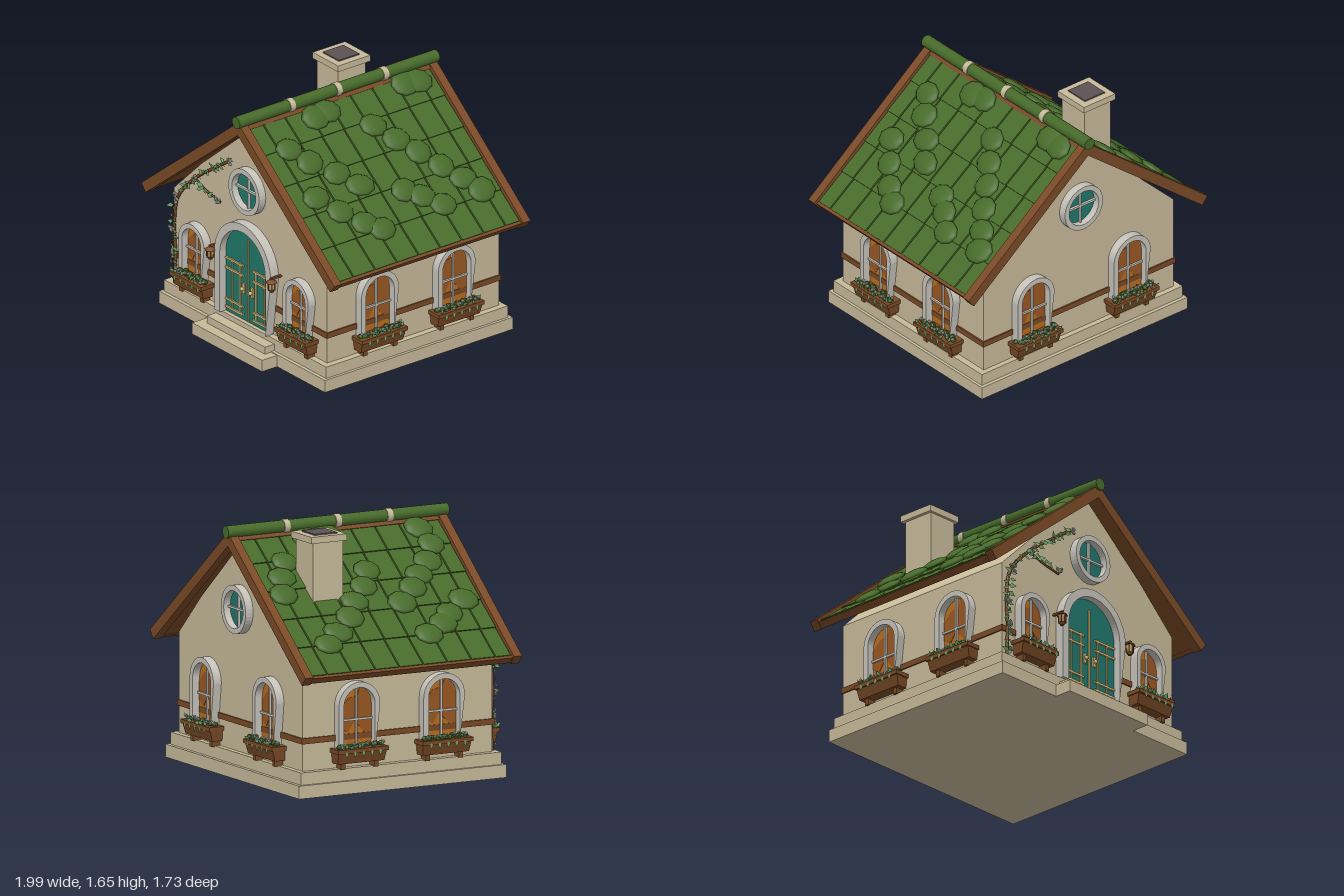
import * as THREE from 'three';

const mat = (name, color, side = THREE.FrontSide) => {
  const m = new THREE.MeshStandardMaterial({ color, side });
  m.name = name;
  return m;
};

export function createModel() {
  const M = {
    cream: mat('cream plaster', 0xc8bb9b), stone: mat('pale stone', 0xc6c3ba),
    wood: mat('brown wood', 0x7a4a26), moss: mat('roof green', 0x476b2a),
    teal: mat('teal paint', 0x20776a), amber: mat('amber glass', 0xb96d1e),
    dusk: mat('dark amber glass', 0x9a5722), gold: mat('pale gold', 0xd6ba74),
    soot: mat('soot', 0x5c5253), leaf: mat('light leaf', 0x6fa66c, THREE.DoubleSide),
  };
  const house = new THREE.Group();
  house.name = 'cottage';
  const ZC = -0.03; // centre of the walls and roof along z
  let seed = 7;
  const rnd = () => (seed = (seed * 16807) % 2147483647) / 2147483647;

  const add = (parent, name, geo, m, x = 0, y = 0, z = 0) => {
    const mesh = new THREE.Mesh(geo, m);
    mesh.name = name;
    mesh.position.set(x, y, z);
    parent.add(mesh);
    return mesh;
  };
  // box given by its limits on each axis
  const box = (p, name, m, x0, x1, y0, y1, z0, z1) =>
    add(p, name, new THREE.BoxGeometry(x1 - x0, y1 - y0, z1 - z0), m, (x0 + x1) / 2, (y0 + y1) / 2, (z0 + z1) / 2);
  const group = (p, name, x = 0, y = 0, z = 0, ry = 0) => {
    const g = new THREE.Group();
    g.name = name;
    g.position.set(x, y, z);
    g.rotation.y = ry;
    p.add(g);
    return g;
  };
  const extrude = (shape, depth) => new THREE.ExtrudeGeometry(shape, { depth, bevelEnabled: false, curveSegments: 20 });
  const poly = (pts) => new THREE.Shape(pts.map(([x, y]) => new THREE.Vector2(x, y)));
  const arch = (hw, y0, top) => {
    const s = new THREE.Shape();
    s.moveTo(-hw, y0);
    s.lineTo(hw, y0);
    s.absarc(0, top - hw, hw, 0, Math.PI, false);
    s.closePath();
    return s;
  };
  // open-bottomed arch surround
  const archFrame = (hw, t, y0, top) => {
    const s = new THREE.Shape();
    s.moveTo(hw, y0);
    s.absarc(0, top - hw, hw, 0, Math.PI, false);
    s.lineTo(-hw, y0);
    s.lineTo(t - hw, y0);
    s.absarc(0, top - hw, hw - t, Math.PI, 0, true);
    s.lineTo(hw - t, y0);
    s.closePath();
    return s;
  };

  // foundation and steps
  box(house, 'lowerSlab', M.cream, -0.855, 0.855, 0, 0.085, -0.795, 0.735);
  box(house, 'upperSlab', M.cream, -0.835, 0.835, 0.085, 0.165, -0.77, 0.71);
  box(house, 'lowerStep', M.cream, -0.36, 0.36, 0, 0.08, 0.7, 0.857);
  box(house, 'upperStep', M.cream, -0.3, 0.3, 0.08, 0.13, 0.7, 0.785);

  // walls with gables and the belt rail
  const wall = poly([[-0.79, 0.16], [0.79, 0.16], [0.79, 0.82], [0.5, 1.1], [0, 1.52], [-0.5, 1.1], [-0.79, 0.82]]);
  add(house, 'walls', extrude(wall, 1.4), M.cream, 0, 0, -0.733);
  for (const s of [-1, 1]) {
    box(house, 'sideRail', M.wood, s * 0.79 - 0.01, s * 0.79 + 0.01, 0.342, 0.38, -0.743, 0.677);
    box(house, 'frontRail', M.wood, s * 0.53 - 0.26, s * 0.53 + 0.26, 0.342, 0.38, 0.66, 0.677);
  }
  box(house, 'backRail', M.wood, -0.79, 0.79, 0.342, 0.38, -0.743, -0.725);

  // planter: tapered trough, brackets, foliage, flowers and hanging leaves (z points out of the wall)
  const leafGeo = new THREE.ShapeGeometry(poly([[0, 0], [0.013, 0.018], [0, 0.045], [-0.013, 0.018]]));
  const flowerGeo = new THREE.IcosahedronGeometry(0.011, 0);
  const bushGeo = new THREE.IcosahedronGeometry(0.022, 0);
  const planter = (p, w) => {
    const g = group(p, 'planter');
    const geo = new THREE.BoxGeometry(w, 0.085, 0.095);
    const a = geo.attributes.position;
    for (let i = 0; i < a.count; i++) if (a.getY(i) < 0) {
      a.setX(i, a.getX(i) * 0.95);
      if (a.getZ(i) > 0) a.setZ(i, 0.025);
    }
    geo.computeVertexNormals();
    add(g, 'trough', geo, M.wood, 0, 0.243, 0.0525);
    box(g, 'rim', M.wood, -w / 2 - 0.006, w / 2 + 0.006, 0.27, 0.297, 0, 0.108);
    for (const s of [-1, 1]) box(g, 'bracket', M.wood, s * w * 0.34 - 0.015, s * w * 0.34 + 0.015, 0.16, 0.205, 0, 0.06);
    const n = Math.round(w / 0.032);
    for (let i = 0; i < n; i++) {
      const x = ((i + 0.5) / n - 0.5) * w * 0.95;
      add(g, 'foliage', bushGeo, M.moss, x, 0.3 + rnd() * 0.012, 0.04 + rnd() * 0.04);
      add(g, 'flower', flowerGeo, M.stone, x + rnd() * 0.015, 0.317 + rnd() * 0.01, 0.05 + rnd() * 0.045);
      const l = add(g, 'sprig', leafGeo, M.leaf, x, 0.3, 0.08 + rnd() * 0.02);
      l.rotation.set(0.5, rnd() * 3, (rnd() - 0.5) * 2);
      if (i % 2) add(g, 'hangingLeaf', leafGeo, M.leaf, x, 0.285, 0.112).rotation.z = Math.PI;
    }
  };

  // arched window with planter
  const archedWindow = (x, z, ry, hw, t, top, w) => {
    const g = group(house, 'archedWindow', x, 0, z, ry);
    const r = hw - t;
    add(g, 'surround', extrude(archFrame(hw, t, 0.27, top), 0.058), M.stone);
    add(g, 'glass', extrude(arch(r, 0.28, top - t), 0.006), M.amber);
    const c = top - hw;
    const shade = poly([[-r, 0.42], [-r * 0.5, 0.39], [-r * 0.1, 0.46], [r * 0.4, 0.4], [r, 0.33], [r, c], [r * 0.7, c + r * 0.7],
      [r * 0.25, c + r * 0.95], [r * 0.1, c + r * 0.5], [-r * 0.5, c + r * 0.35], [-r, c - 0.02]]);
    add(g, 'glassShade', extrude(shade, 0.003), M.dusk, 0, 0, 0.006);
    box(g, 'mullion', M.stone, -0.006, 0.006, 0.28, top - t, 0.005, 0.022);
    box(g, 'transom', M.stone, -r, r, 0.465, 0.479, 0.005, 0.022);
    planter(g, w);
  };
  for (const s of [-1, 1]) {
    archedWindow(s * 0.537, 0.667, 0, 0.132, 0.035, 0.668, 0.315);
    archedWindow(s * 0.4, -0.733, Math.PI, 0.152, 0.037, 0.72, 0.36);
    for (const z of [0.28, -0.345]) archedWindow(s * 0.79, z, s * Math.PI / 2, 0.152, 0.037, 0.72, 0.36);
  }

  // round gable windows
  for (const [z, ry] of [[0.667, 0], [-0.733, Math.PI]]) {
    const g = group(house, 'roundWindow', 0, 1.095, z, ry);
    const ring = new THREE.Shape().absarc(0, 0, 0.158, 0, Math.PI * 2);
    ring.holes.push(new THREE.Path().absarc(0, 0, 0.123, 0, Math.PI * 2, true));
    add(g, 'surround', extrude(ring, 0.055), M.stone);
    add(g, 'glass', extrude(new THREE.Shape().absarc(0, 0, 0.125, 0, Math.PI * 2), 0.007), M.teal);
    box(g, 'mullion', M.stone, -0.007, 0.007, -0.123, 0.123, 0.005, 0.024);
    box(g, 'transom', M.stone, -0.123, 0.123, -0.007, 0.007, 0.005, 0.024);
  }

  // double door with strap hinges and handles
  const door = group(house, 'door', 0, 0, 0.667);
  add(door, 'surround', extrude(archFrame(0.29, 0.055, 0.165, 0.868), 0.065), M.stone);
  add(door, 'leaves', extrude(arch(0.236, 0.165, 0.814), 0.015), M.teal);
  box(door, 'centreBar', M.gold, -0.006, 0.006, 0.17, 0.745, 0.014, 0.024);
  for (const s of [-1, 1]) {
    for (const x of [0.08, 0.165]) box(door, 'upright', M.gold, s * x - 0.006, s * x + 0.006, 0.2, 0.56, 0.014, 0.024);
    for (const y of [0.2, 0.255, 0.475, 0.545])
      box(door, 'strap', M.gold, s * 0.14 - 0.09, s * 0.14 + 0.09, y - 0.007, y + 0.007, 0.014, 0.026);
    box(door, 'handlePlate', M.gold, s * 0.043 - 0.012, s * 0.043 + 0.012, 0.355, 0.425, 0.014, 0.026);
    add(door, 'knob', new THREE.SphereGeometry(0.014, 10, 8), M.gold, s * 0.043, 0.39, 0.036);

    // lantern beside the door
    const l = group(house, 'lantern', s * 0.315, 0, 0.745);
    box(l, 'arm', M.wood, -0.008, 0.008, 0.6, 0.614, -0.08, 0.01);
    add(l, 'cap', new THREE.ConeGeometry(0.04, 0.03, 6), M.wood, 0, 0.597, 0);
    add(l, 'lamp', new THREE.CylinderGeometry(0.026, 0.019, 0.05, 6), M.gold, 0, 0.558, 0);
    add(l, 'base', new THREE.CylinderGeometry(0.023, 0.014, 0.02, 6), M.wood, 0, 0.524, 0);
    for (let i = 0; i < 6; i++) {
      const a = i * Math.PI / 3;
      add(l, 'bar', new THREE.BoxGeometry(0.006, 0.056, 0.006), M.wood, Math.sin(a) * 0.024, 0.558, Math.cos(a) * 0.024);
    }
  }

  // roof slopes: local x runs down the slope, local y is its normal
  const TILT = Math.atan2(0.79, 0.995);
  const cols = [-0.738];
  for (let i = 0; i < 8; i++) cols.push(-0.62 + i * 0.177);
  cols.push(0.738);
  // leaf clumps as [x, z] seen in plan
  const clumps = [[-0.78, -0.53], [-0.71, -0.42], [-0.62, -0.28], [-0.43, -0.66], [-0.32, -0.61], [-0.22, -0.53],
    [-0.52, -0.19], [-0.43, -0.07], [-0.33, 0.01], [-0.08, -0.29], [-0.07, -0.13], [-0.78, 0.21], [-0.72, 0.35],
    [-0.66, 0.43], [-0.58, 0.58], [-0.56, 0.14], [-0.47, 0.27], [-0.39, 0.36], [-0.31, 0.47], [-0.2, 0.56], [-0.09, 0.53],
    [0.09, -0.63], [0.08, -0.53], [0.75, -0.63], [0.66, -0.55], [0.56, -0.45], [0.76, -0.31], [0.68, -0.2],
    [0.62, -0.1], [0.45, -0.35], [0.35, -0.25], [0.24, -0.15], [0.09, 0.11], [0.1, 0.21], [0.78, 0.2], [0.72, 0.3],
    [0.62, 0.42], [0.51, 0.53], [0.52, 0.18], [0.42, 0.29], [0.32, 0.43], [0.22, 0.52]];
  const clumpGeo = new THREE.SphereGeometry(1, 9, 6);
  for (const s of [-1, 1]) {
    const slope = group(group(house, 'roofSide', 0, 1.6, ZC, s > 0 ? 0 : Math.PI), 'slope');
    slope.rotation.z = -TILT;
    box(slope, 'deck', M.wood, 0.0, 1.24, -0.065, -0.032, -0.745, 0.745);
    for (const z of [-0.77, 0.77]) box(slope, 'bargeBoard', M.wood, 0, 1.27, -0.07, 0, z - 0.03, z + 0.03);
    box(slope, 'eaveBoard', M.wood, 1.235, 1.262, -0.068, -0.02, -0.745, 0.745);
    for (let r = 0; r < 5; r++) for (let c = 0; c < 9; c++) {
      const x0 = 0.02 + r * 0.244;
      const t = box(slope, 'shingle', M.moss, x0, x0 + 0.246, -0.036, -0.018, cols[c] + 0.005, cols[c + 1] - 0.005);
      t.rotation.z = 0.035;
    }
    for (const [x, z] of clumps) if (x * s > 0) {
      const m = add(slope, 'leafClump', clumpGeo, M.moss, Math.abs(x) / Math.cos(TILT), -0.012, s * (z - ZC));
      m.scale.set(0.08 + rnd() * 0.012, 0.026, 0.095 + rnd() * 0.014);
      m.rotation.set(0, (rnd() - 0.5) * 0.5, -0.06);
    }
  }

  // ridge log with bands
  const rod = (name, m, r, len, z) =>
    add(house, name, new THREE.CylinderGeometry(r, r, len, 16), m, 0, 1.603, z).rotation.x = Math.PI / 2;
  rod('ridgeLog', M.moss, 0.041, 1.63, ZC);
  for (const z of [0.35, -0.03, -0.41]) rod('ridgeBand', M.cream, 0.046, 0.04, z);

  // chimney
  box(house, 'chimney', M.cream, -0.48, -0.262, 1.05, 1.58, -0.478, -0.255);
  box(house, 'chimneyCap', M.cream, -0.502, -0.24, 1.575, 1.618, -0.5, -0.237);
  box(house, 'flue', M.soot, -0.455, -0.29, 1.6, 1.626, -0.45, -0.283);

  // climbing vine with leaves and blossoms
  const vine = group(house, 'vine', 0, 0, 0.682);
  const stems = [
    [[-0.76, 0.165], [-0.755, 0.4], [-0.765, 0.58], [-0.73, 0.78], [-0.55, 0.98], [-0.36, 1.12], [-0.17, 1.25]],
    [[-0.55, 0.98], [-0.45, 0.94], [-0.28, 0.905]],
  ];
  stems.forEach((pts, k) => {
    const curve = new THREE.CatmullRomCurve3(pts.map(([x, y]) => new THREE.Vector3(x, y, 0)));
    add(vine, 'stem', new THREE.TubeGeometry(curve, 30, k ? 0.007 : 0.011, 6), M.wood);
    const n = k ? 12 : 56;
    for (let i = 0; i < n; i++) {
      const p = curve.getPoint((i + 0.5) / n);
      const l = add(vine, 'vineLeaf', leafGeo, M.leaf, p.x, p.y, 0.012 + rnd() * 0.012);
      l.rotation.set((rnd() - 0.5) * 0.9, (rnd() - 0.5) * 0.9, (i % 2 ? 1 : -1) * (0.5 + rnd() * 1.8));
      l.scale.setScalar(0.9 + rnd() * 0.4);
    }
  });
  for (const [x, y] of [[-0.76, 0.38], [-0.77, 0.56], [-0.73, 0.79], [-0.53, 0.99], [-0.29, 0.91], [-0.18, 1.24]])
    for (let i = 0; i < 5; i++)
      add(vine, 'blossom', flowerGeo, M.stone, x + (rnd() - 0.5) * 0.05, y + (rnd() - 0.5) * 0.05, 0.022);

  return house;
}
